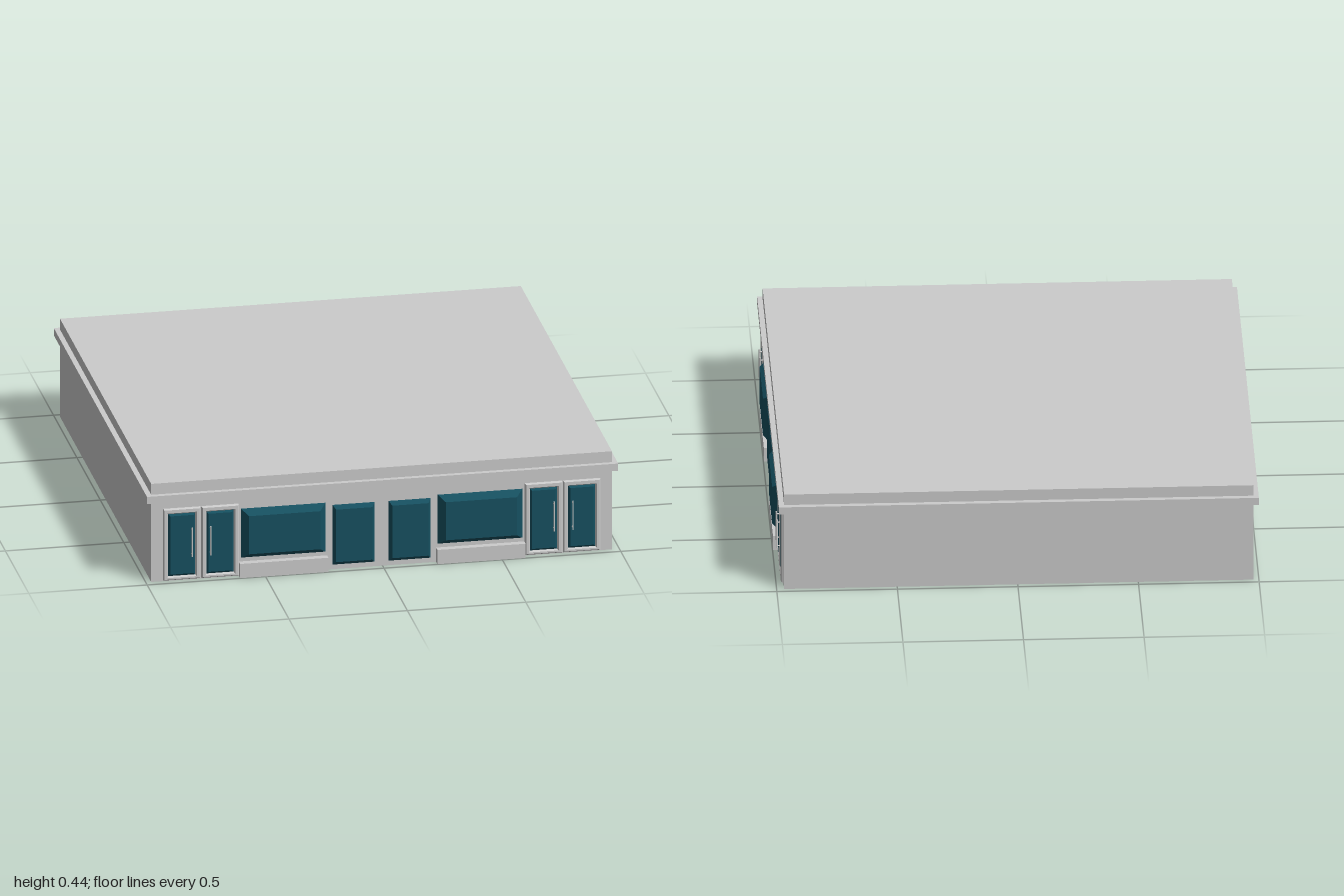
import * as THREE from 'three';

const C = -0.004;      // centre of the building in x and z
const HALF = 0.973;    // half width of the walls

const wall = new THREE.MeshStandardMaterial({ color: 0xcccccc, flatShading: true });
const glass = new THREE.MeshStandardMaterial({ color: 0x165060, flatShading: true });

function add(group, name, geometry, material) {
  const mesh = new THREE.Mesh(geometry, material);
  mesh.name = name;
  group.add(mesh);
  return mesh;
}

// Box between two corners
function box(x0, x1, y0, y1, z0, z1) {
  return new THREE.BoxGeometry(x1 - x0, y1 - y0, z1 - z0)
    .translate((x0 + x1) / 2, (y0 + y1) / 2, (z0 + z1) / 2);
}

// Raised pane: a box on the wall whose front face is drawn in on all sides
function pane(x0, x1, y0, y1, z, depth, insetX, insetY) {
  const geo = box(x0, x1, y0, y1, z, z + depth);
  const p = geo.attributes.position;
  const cx = (x0 + x1) / 2, cy = (y0 + y1) / 2;
  for (let i = 0; i < p.count; i++) {
    if (p.getZ(i) < z + depth / 2) continue;
    p.setX(i, p.getX(i) - Math.sign(p.getX(i) - cx) * insetX);
    p.setY(i, p.getY(i) - Math.sign(p.getY(i) - cy) * insetY);
  }
  geo.computeVertexNormals();
  return geo;
}

function rectangle(PathType, x0, x1, y0, y1) {
  return new PathType([[x0, y0], [x1, y0], [x1, y1], [x0, y1]]
    .map(([x, y]) => new THREE.Vector2(x, y)));
}

// Bevelled frame around one door leaf
function doorFrame(x0, x1, y0, y1) {
  const b = 0.005;
  const shape = rectangle(THREE.Shape, x0 + b, x1 - b, y0 + b, y1 - b);
  shape.holes.push(rectangle(THREE.Path, x0 + 0.016, x1 - 0.016, y0 + 0.012, y1 - 0.019));
  return new THREE.ExtrudeGeometry(shape, {
    depth: 0.005, bevelEnabled: true, bevelSize: b, bevelThickness: 0.006, bevelSegments: 1,
  }).translate(0, 0, HALF);
}

// Pull handle: an upright bar on two short mounts
function doorHandle(x) {
  const handle = new THREE.Group();
  handle.name = 'doorHandle';
  const z = HALF + 0.021;
  add(handle, 'handleBar', new THREE.CylinderGeometry(0.003, 0.003, 0.13, 8)
    .translate(x, 0.172, z), wall);
  for (const y of [0.118, 0.226]) {
    add(handle, 'handleMount', new THREE.CylinderGeometry(0.003, 0.003, 0.016, 8)
      .rotateX(Math.PI / 2).translate(x, y, z - 0.008), wall);
  }
  return handle;
}

// One shop front, facing +z, mirrored about its middle
function shopFront() {
  const front = new THREE.Group();
  front.name = 'shopFront';
  for (const s of [-1, 1]) {
    const span = (a, b) => (s > 0 ? [a, b] : [-b, -a]);

    add(front, 'narrowWindow', pane(...span(0.03, 0.207), 0.02, 0.285, HALF, 0.017, 0.012, 0.016), glass);
    add(front, 'displayWindow', pane(...span(0.237, 0.594), 0.08, 0.297, HALF, 0.031, 0.028, 0.024), glass);
    add(front, 'windowBase', box(...span(0.23, 0.603), 0, 0.063, HALF - 0.01, HALF + 0.029), wall);

    // Pair of doors at the end
    for (const [a, b] of [[0.604, 0.762], [0.766, 0.923]]) {
      add(front, 'doorFrame', doorFrame(...span(a, b), 0.004, 0.321), wall);
      add(front, 'doorPane', pane(...span(a + 0.021, b - 0.021), 0.02, 0.298, HALF, 0.009, 0.008, 0.01), glass);
    }
    for (const x of [0.725, 0.804]) front.add(doorHandle(s * x));
  }
  return front;
}

export function createModel() {
  const model = new THREE.Group();
  model.name = 'shopBuilding';

  // Walls, projecting band and flat roof
  add(model, 'walls', box(-HALF, HALF, 0, 0.36, -HALF, HALF), wall);
  add(model, 'roofBand', box(-0.995, 0.995, 0.355, 0.387, -0.995, 0.995), wall);
  add(model, 'roof', box(-HALF, HALF, 0.38, 0.435, -HALF, HALF), wall);

  // Same shop front on the +z and +x sides
  const main = shopFront();
  main.name = 'frontShopFront';
  const side = shopFront();
  side.name = 'sideShopFront';
  side.rotation.y = Math.PI / 2;
  model.add(main, side);

  // Shift so that the projecting windows stay inside the footprint
  for (const part of model.children) part.position.set(C, 0, C);
  return model;
}
